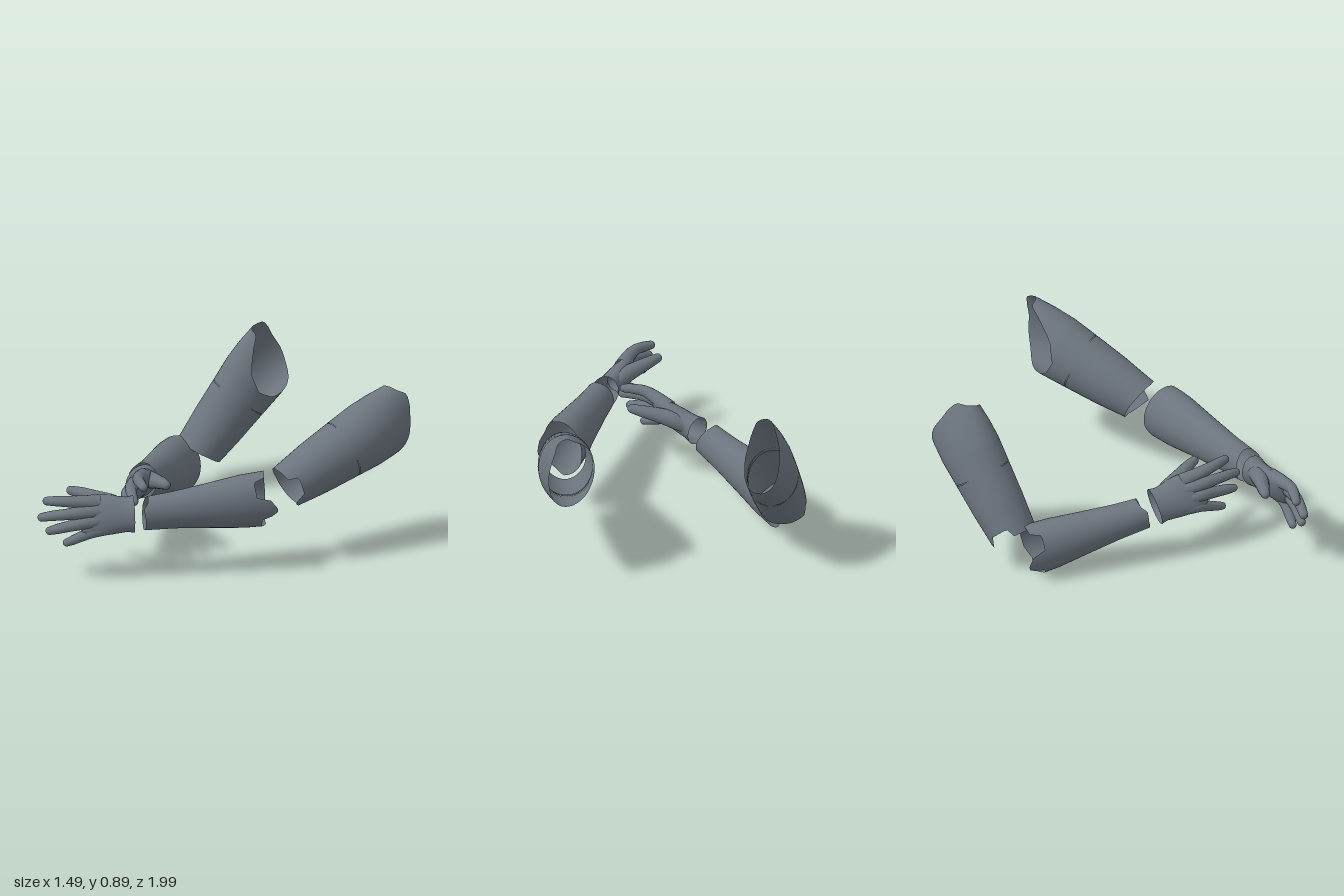
import * as THREE from 'three';

const V = (x, y, z) => new THREE.Vector3(x, y, z);
const SIDES = 40;

// Piecewise-linear lookup in rows of [key, value, value...]
function sample(keys, k, col = 1) {
  if (k <= keys[0][0]) return keys[0][col];
  for (let i = 1; i < keys.length; i++) {
    const a = keys[i - 1], b = keys[i];
    if (k <= b[0]) return a[col] + (b[col] - a[col]) * (k - a[0]) / (b[0] - a[0]);
  }
  return keys[keys.length - 1][col];
}

// Smooth skin over closed rings of points
function skin(rings) {
  const n = rings[0].length, pos = [], idx = [];
  rings.forEach(r => r.forEach(p => pos.push(p.x, p.y, p.z)));
  for (let i = 0; i < rings.length - 1; i++) {
    for (let j = 0; j < n; j++) {
      const a = i * n + j, b = i * n + (j + 1) % n;
      idx.push(a, b, a + n, b, b + n, a + n);
    }
  }
  const g = new THREE.BufferGeometry();
  g.setAttribute('position', new THREE.Float32BufferAttribute(pos, 3));
  g.setIndex(idx);
  g.computeVertexNormals();
  return g;
}

// Open shell round a straight axis; from/to give the cut edge by angle
// (0 = outer side, 90 = top, 180 = inner side, 270 = underside)
function shell(start, end, side, radii, from, to, grow = 0) {
  const axis = end.clone().sub(start), d = axis.clone().normalize();
  const out = d.clone().cross(V(0, 1, 0.3)).normalize();
  if (out.x * side < 0) out.negate();
  const up = out.clone().cross(d).normalize();
  if (up.y < 0) up.negate();
  const rings = [], rows = 14;
  for (let i = 0; i <= rows; i++) {
    const ring = [];
    for (let j = 0; j < SIDES; j++) {
      const deg = j * 360 / SIDES, a = deg * Math.PI / 180;
      const t = THREE.MathUtils.lerp(sample(from, deg), sample(to, deg), i / rows);
      ring.push(start.clone().addScaledVector(axis, t)
        .addScaledVector(out, Math.cos(a) * (sample(radii, t, 1) + grow))
        .addScaledVector(up, Math.sin(a) * (sample(radii, t, 2) + grow)));
    }
    rings.push(ring);
  }
  return skin(rings);
}

const flat = t => [[0, t], [360, t]];

// Arm sections: [position along, half width, half height]
const LEFT_UPPER = [[0, 0.115, 0.122], [0.25, 0.135, 0.15], [0.5, 0.149, 0.168],
  [0.7, 0.15, 0.186], [0.85, 0.133, 0.19], [1, 0.103, 0.188], [1.1, 0.078, 0.175]];
const RIGHT_UPPER = [[0, 0.13, 0.125], [0.25, 0.138, 0.15], [0.5, 0.139, 0.168],
  [0.7, 0.135, 0.186], [0.85, 0.121, 0.19], [1, 0.095, 0.185], [1.1, 0.075, 0.17]];
const FORE_RADII = [[0, 0.12, 0.155], [0.2, 0.115, 0.149], [0.45, 0.102, 0.126],
  [0.75, 0.086, 0.102], [1, 0.077, 0.091]];

// Ragged edges
const UPPER_ELBOW_EDGE = [[0, 0.05], [35, 0.06], [45, -0.01], [90, -0.02], [140, 0],
  [180, 0.02], [270, 0.035], [310, 0], [335, -0.03], [350, 0.05], [360, 0.05]];
const SHOULDER_EDGE = [[0, 1.01], [20, 1.05], [42, 1.07], [65, 1.01], [95, 0.98], [115, 0.98],
  [130, 0.87], [150, 0.72], [180, 0.64], [215, 0.66], [240, 0.74], [270, 0.81],
  [300, 0.88], [330, 0.96], [360, 1.01]];
const FORE_ELBOW_EDGE = [[0, -0.06], [18, -0.01], [27, 0.1], [62, 0.11], [72, 0.02], [110, 0],
  [150, -0.02], [180, -0.03], [205, -0.03], [235, 0.01], [270, 0], [300, 0.06], [335, 0.06],
  [346, -0.06], [360, -0.06]];
const FORE_WRIST_EDGE = [[0, 1], [40, 1.01], [60, 0.97], [110, 0.95], [180, 0.98], [270, 1], [360, 1]];

// Finger path points are [along, across, back, radius] in the hand's frame
const FINGERS = {
  indexFinger: [[0.18, 0.07, 0.006, 0.043], [0.26, 0.073, 0.014, 0.037], [0.35, 0.08, 0.012, 0.03],
    [0.41, 0.085, -0.012, 0.027], [0.455, 0.088, -0.036, 0.023]],
  middleFinger: [[0.18, 0.022, 0.012, 0.043], [0.27, 0.018, 0.02, 0.037], [0.36, 0.012, 0.009, 0.03],
    [0.435, 0.008, -0.018, 0.027], [0.485, 0.003, -0.042, 0.023]],
  ringFinger: [[0.18, -0.028, 0.01, 0.041], [0.26, -0.036, 0.014, 0.036], [0.34, -0.05, -0.008, 0.03],
    [0.405, -0.062, -0.036, 0.027], [0.445, -0.07, -0.056, 0.022]],
  littleFinger: [[0.16, -0.07, 0, 0.038], [0.225, -0.086, -0.006, 0.033], [0.28, -0.107, -0.032, 0.028],
    [0.325, -0.125, -0.056, 0.025], [0.355, -0.136, -0.072, 0.021]],
  thumb: [[0.05, 0.035, -0.012, 0.046], [0.12, 0.066, -0.034, 0.048], [0.2, 0.098, -0.068, 0.039],
    [0.265, 0.124, -0.1, 0.032], [0.315, 0.14, -0.122, 0.025]],
};
// Palm rings: [along, across centre, half height, half thickness]
const PALM = [[0, 0, 0.1, 0.074], [0.035, 0, 0.093, 0.066], [0.075, 0, 0.098, 0.062],
  [0.12, 0.002, 0.106, 0.059], [0.17, 0.001, 0.11, 0.055], [0.215, 0.001, 0.11, 0.048],
  [0.255, 0.002, 0.104, 0.038], [0.28, 0.004, 0.085, 0.026], [0.29, 0.004, 0.01, 0.003]];

// One digit with a rounded tip
function digit(path, place) {
  const curve = new THREE.CatmullRomCurve3(path.map(p => V(p[0], p[1], p[2])));
  const steps = 20, tip = 6, sides = 14, rings = [];
  for (let i = 0; i <= steps + tip; i++) {
    const t = Math.min(i / steps, 1), k = Math.max(0, i - steps) / tip * Math.PI / 2;
    const f = t * (path.length - 1), m = Math.min(Math.floor(f), path.length - 2);
    const r = THREE.MathUtils.lerp(path[m][3], path[m + 1][3], f - m);
    const tan = curve.getTangent(t);
    const c = curve.getPoint(t).addScaledVector(tan, r * Math.sin(k));
    const e1 = V(0, 1, 0).addScaledVector(tan, -tan.y).normalize(), e2 = tan.clone().cross(e1);
    const ring = [];
    for (let j = 0; j < sides; j++) {
      const a = j / sides * 2 * Math.PI, q = r * Math.max(Math.cos(k), 0.01);
      ring.push(place(c.clone().addScaledVector(e1, q * Math.cos(a)).addScaledVector(e2, q * Math.sin(a))));
    }
    rings.push(ring);
  }
  return skin(rings);
}

function buildHand(wrist, dir, upHint, side, add) {
  const d = dir.clone().normalize();
  const u = upHint.clone().addScaledVector(d, -upHint.dot(d)).normalize();
  const b = u.clone().cross(d).multiplyScalar(side);
  const place = p => wrist.clone().addScaledVector(d, p.x).addScaledVector(u, p.y).addScaledVector(b, p.z);
  const rings = PALM.map(([s, c, h, w]) => Array.from({ length: 28 }, (_, j) => {
    const a = j / 28 * 2 * Math.PI;
    return place(V(s, c + h * Math.sin(a), w * Math.cos(a)));
  }));
  add('palm', skin(rings));
  for (const name in FINGERS) add(name, digit(FINGERS[name], place));
}

export function createModel() {
  const grey = new THREE.MeshStandardMaterial({ color: 0x6c757e, side: THREE.DoubleSide });
  grey.name = 'slate grey';
  const model = new THREE.Group();
  model.name = 'pairOfArms';

  const arms = [
    { name: 'leftArm', side: 1, radii: LEFT_UPPER, low: V(0.54, 0.435, -0.15), shoulder: V(0.64, 0.71, -0.85),
      elbow: V(0.53, 0.40, -0.02), foreEnd: V(0.215, 0.365, 0.565),
      wrist: V(0.185, 0.365, 0.605), dir: V(-0.55, 0, 0.83), up: V(-0.32, 0.92, -0.21) },
    { name: 'rightArm', side: -1, radii: RIGHT_UPPER, low: V(-0.582, 0.215, -0.485), shoulder: V(-0.4, 0.78, -0.885),
      elbow: V(-0.617, 0.153, -0.375), foreEnd: V(-0.28, 0.295, 0.155),
      wrist: V(-0.242, 0.315, 0.195), dir: V(0.645, 0.2, 0.735), up: V(0.4, 0.83, -0.4) },
  ];

  for (const a of arms) {
    const arm = new THREE.Group();
    arm.name = a.name;
    const add = (name, geometry, parent = arm) => {
      const mesh = new THREE.Mesh(geometry, grey);
      mesh.name = name;
      parent.add(mesh);
    };
    // Upper arm in two pieces with a fine recessed seam
    const upper = (from, to, grow) => shell(a.low, a.shoulder, a.side, a.radii, from, to, grow);
    add('upperArm', upper(UPPER_ELBOW_EDGE, flat(0.497)));
    add('seam', upper(flat(0.48), flat(0.52), -0.006));
    add('shoulderSleeve', upper(flat(0.503), SHOULDER_EDGE));
    // Forearm
    add('forearm', shell(a.elbow, a.foreEnd, a.side, FORE_RADII, FORE_ELBOW_EDGE, FORE_WRIST_EDGE));
    // Hand
    const hand = new THREE.Group();
    hand.name = 'hand';
    buildHand(a.wrist, a.dir, a.up, a.side, (n, g) => add(n, g, hand));
    arm.add(hand);
    model.add(arm);
  }
  return model;
}
